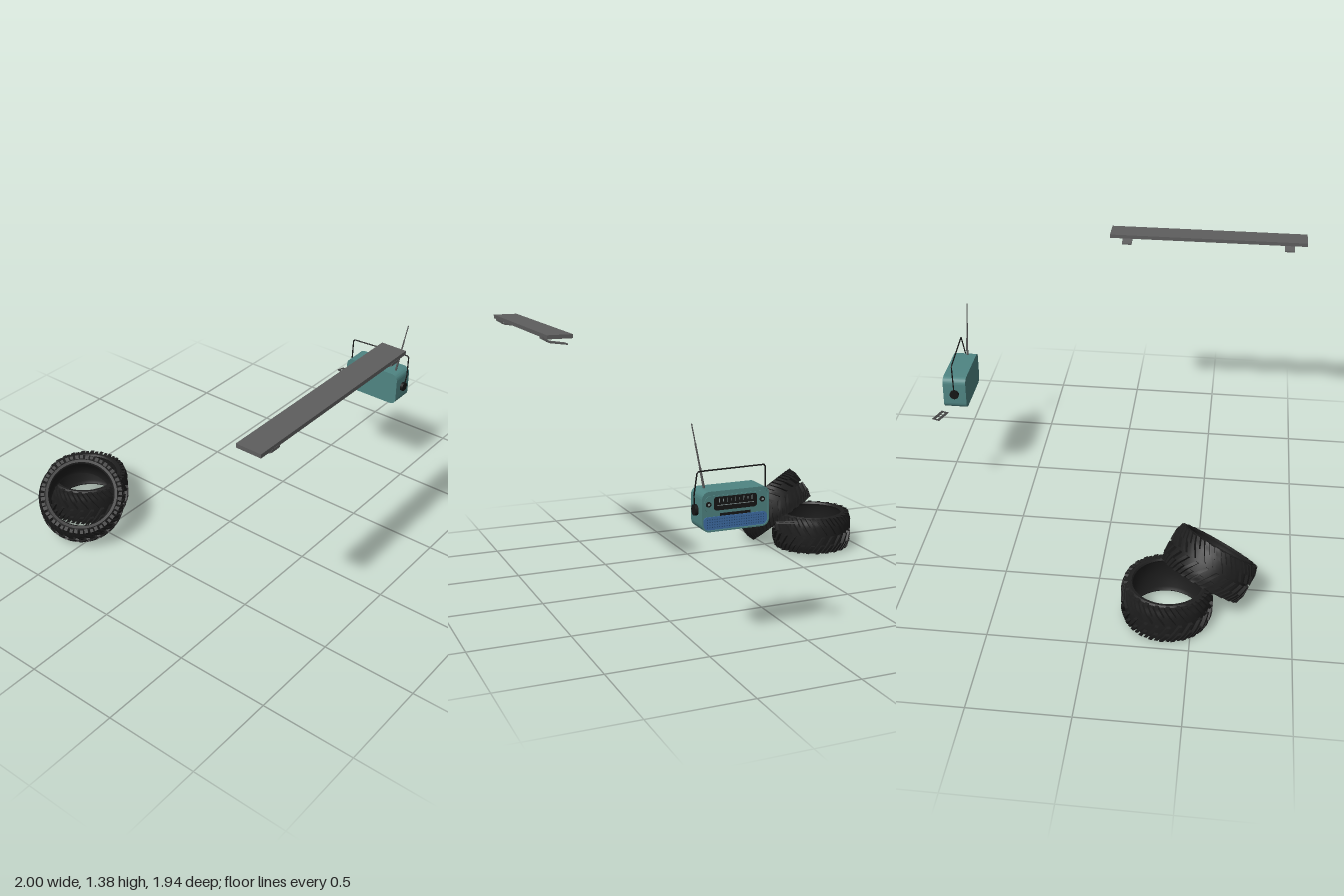
import * as THREE from 'three';
import { mergeGeometries, toCreasedNormals } from 'three/addons/utils/BufferGeometryUtils.js';

const V2 = (x, y) => new THREE.Vector2(x, y);
const V3 = (x, y, z) => new THREE.Vector3(x, y, z);
const paint = (color) => new THREE.MeshStandardMaterial({ color, side: THREE.DoubleSide });
const rubber = paint(0x1e1e1e), steel = paint(0x5e5e5e), black = paint(0x161616);
const teal = paint(0x4f8583), blue = paint(0x3f6fa8), navy = paint(0x24466f), pale = paint(0x8a9a9a);

function add(parent, name, geometry, material, x = 0, y = 0, z = 0) {
  const mesh = new THREE.Mesh(geometry, material);
  mesh.name = name;
  mesh.position.set(x, y, z);
  parent.add(mesh);
  return mesh;
}

// Rounded rectangle centred on the origin
function roundRect(w, h, r, target = new THREE.Shape()) {
  const x = w / 2, y = h / 2;
  target.moveTo(-x + r, -y);
  target.lineTo(x - r, -y);
  target.absarc(x - r, -y + r, r, -Math.PI / 2, 0);
  target.absarc(x - r, y - r, r, 0, Math.PI / 2);
  target.absarc(-x + r, y - r, r, Math.PI / 2, Math.PI);
  target.absarc(-x + r, -y + r, r, Math.PI, Math.PI * 1.5);
  return target;
}

function slab(shape, depth) {
  const g = new THREE.ExtrudeGeometry(shape, { depth, bevelEnabled: false, curveSegments: 8 });
  return toCreasedNormals(g, 0.6);
}

// Thin round rod between two points
function rod(parent, name, a, b, r0, r1, material) {
  const m = add(parent, name, new THREE.CylinderGeometry(r1, r0, a.distanceTo(b), 8), material);
  m.position.copy(a).add(b).multiplyScalar(0.5);
  m.quaternion.setFromUnitVectors(V3(0, 1, 0), b.clone().sub(a).normalize());
  return m;
}

// Radius of the tyre carcass at a distance u from its middle plane
const carcass = (u) => 0.213 - 0.013 * THREE.MathUtils.smoothstep(u, 0.055, 0.105);

// One tread bar, bent round the carcass and swept back from the middle
function lug(angle, from, to, side, width) {
  const g = new THREE.BoxGeometry(width, to - from, 0.022, 1, 5, 1);
  g.translate(0, side * (from + to) / 2, 0.007);
  const p = g.attributes.position;
  for (let i = 0; i < p.count; i++) {
    const u = p.getY(i), r = carcass(Math.abs(u)) + p.getZ(i);
    const a = angle + p.getX(i) / 0.22 - 3.0 * Math.abs(u);
    p.setXYZ(i, r * Math.cos(a), u, -r * Math.sin(a));
  }
  return toCreasedNormals(g, 0.5);
}

function tyre(name) {
  const group = new THREE.Group();
  group.name = name;
  const outer = [-0.1, -0.085, -0.055, 0, 0.055, 0.085, 0.1].map((u) => V2(carcass(Math.abs(u)), u));
  const profile = [V2(0.178, -0.105), V2(0.192, -0.106), ...outer, V2(0.192, 0.106),
    V2(0.178, 0.105), V2(0.172, 0.096), V2(0.182, 0.08), V2(0.185, 0), V2(0.182, -0.08),
    V2(0.172, -0.096), V2(0.178, -0.105)];
  add(group, 'carcass', toCreasedNormals(new THREE.LatheGeometry(profile, 56), 0.6), rubber);
  const lugs = [], count = 24, step = Math.PI * 2 / count;
  for (let i = 0; i < count; i++) {
    for (const side of [1, -1]) {
      const a = (i + (side > 0 ? 0 : 0.5)) * step;
      lugs.push(lug(a, 0.006, 0.1, side, 0.017));
      lugs.push(lug(a + step / 2, 0.055, 0.104, side, 0.02));
    }
  }
  add(group, 'tread', mergeGeometries(lugs), rubber);
  return group;
}

// Wall shelf with two bent brackets under it
function shelf() {
  const group = new THREE.Group();
  group.name = 'shelf';
  add(group, 'board', new THREE.BoxGeometry(1.104, 0.02, 0.13), steel, -0.448, 1.379, 0.898);
  const bend = new THREE.Shape([V2(0.966, 1.376), V2(0.966, 1.362), V2(0.932, 1.342), V2(0.84, 1.329),
    V2(0.84, 1.336), V2(0.93, 1.35), V2(0.955, 1.37)]);
  for (const x of [-0.905, 0.01]) {
    const m = add(group, 'bracket', slab(bend, 0.055), steel, x + 0.0275, 0, 0);
    m.rotation.y = -Math.PI / 2;
  }
  return group;
}

// Portable radio, modelled facing +z and then turned to face +x
function radio() {
  const group = new THREE.Group();
  group.name = 'radio';
  add(group, 'body', slab(roundRect(0.33, 0.186, 0.035), 0.12), teal, 0, 0, -0.064);
  const frame = roundRect(0.33, 0.186, 0.035);
  frame.holes.push(roundRect(0.316, 0.172, 0.029, new THREE.Path()));
  add(group, 'faceFrame', slab(frame, 0.008), teal, 0, 0, 0.056);

  // Tuning panel with dial marks
  add(group, 'controlPanel', slab(roundRect(0.3, 0.075, 0.03), 0.003), teal, 0, 0.034, 0.056);
  add(group, 'dial', slab(roundRect(0.21, 0.062, 0.012), 0.003), black, 0, 0.034, 0.058);
  for (let i = 0; i < 9; i++) {
    add(group, 'dialMark', new THREE.BoxGeometry(0.003, i % 2 ? 0.012 : 0.02, 0.001), pale, -0.08 + i * 0.02, 0.048, 0.0615);
  }
  add(group, 'dialLine', new THREE.BoxGeometry(0.18, 0.003, 0.001), pale, 0, 0.026, 0.0615);
  add(group, 'slot', new THREE.BoxGeometry(0.15, 0.012, 0.004), black, 0, -0.018, 0.057);
  for (const x of [-0.132, 0.132]) {
    const knob = add(group, 'knob', new THREE.CylinderGeometry(0.012, 0.013, 0.01, 20), black, x, 0.034, 0.06);
    knob.rotation.x = Math.PI / 2;
    add(group, 'knobCap', new THREE.CircleGeometry(0.006, 16), pale, x, 0.034, 0.0655);
  }

  // Perforated speaker panel
  add(group, 'speakerPanel', slab(roundRect(0.314, 0.06, 0.02), 0.004), blue, 0, -0.055, 0.056);
  const holes = [];
  for (let i = 0; i < 24; i++) {
    for (let j = 0; j < 4; j++) {
      holes.push(new THREE.CircleGeometry(0.0028, 6).translate((i - 11.5) * 0.012, -0.055 + (j - 1.5) * 0.012, 0.0605));
    }
  }
  add(group, 'speakerHoles', mergeGeometries(holes), navy);

  // Pivots and swinging handle
  for (const s of [-1, 1]) {
    const pivot = add(group, 'handlePivot', new THREE.CylinderGeometry(0.025, 0.025, 0.017, 24), black, s * 0.172, 0, 0);
    pivot.rotation.z = Math.PI / 2;
  }
  const path = new THREE.CurvePath();
  const pts = [V3(-0.176, 0, 0), V3(-0.182, 0.07, 0.012), V3(-0.174, 0.172, 0.027), V3(-0.166, 0.181, 0.027),
    V3(0.166, 0.179, 0.004), V3(0.174, 0.17, 0.004), V3(0.176, 0, 0)];
  // The top bar is slightly skewed across the case
  pts.forEach((p) => { if (p.y > 0.1) p.z = 0.016 - p.x * 0.07; });
  for (let i = 1; i < pts.length; i++) path.add(new THREE.LineCurve3(pts[i - 1], pts[i]));
  for (let i = 1; i < pts.length; i++) rod(group, 'handle', pts[i - 1], pts[i], 0.0035, 0.0035, black);

  // Telescopic aerial
  const base = V3(-0.122, 0.085, -0.013), tip = V3(-0.18, 0.39, -0.017);
  const at = (t) => base.clone().lerp(tip, t);
  rod(group, 'aerialBase', at(0), at(0.35), 0.006, 0.0055, steel);
  rod(group, 'aerialMiddle', at(0.35), at(0.7), 0.0042, 0.0042, steel);
  rod(group, 'aerialTip', at(0.7), at(1), 0.003, 0.003, steel);

  group.rotation.y = Math.PI / 2;
  group.position.set(0.895, 0.67, 0.353);
  return group;
}

// Flat slotted plate lying beside the radio
function plate() {
  const shape = roundRect(0.048, 0.1, 0.002);
  for (const [y, w, h] of [[0.026, 0.012, 0.02], [0, 0.01, 0.016], [-0.026, 0.012, 0.02]]) {
    const x = w / 2, k = h / 2;
    shape.holes.push(new THREE.Path([V2(-x, y - k), V2(-x, y + k), V2(x, y + k), V2(x, y - k)]));
  }
  const g = new THREE.ShapeGeometry(shape).rotateX(-Math.PI / 2);
  const mesh = new THREE.Mesh(g, paint(0x444444));
  mesh.name = 'slottedPlate';
  mesh.rotation.y = -0.34;
  mesh.position.set(0.96, 0.579, 0.097);
  return mesh;
}

export function createModel() {
  const model = new THREE.Group();
  model.name = 'garageItems';
  const flat = tyre('lyingTyre');
  flat.position.set(-0.372, 0.118, -0.743);
  const leaning = tyre('leaningTyre');
  leaning.position.set(-0.573, 0.226, -0.578);
  leaning.quaternion.setFromUnitVectors(V3(0, 1, 0), V3(-0.44, 0.76, 0.47).normalize());
  model.add(flat, leaning, shelf(), radio(), plate());
  return model;
}
